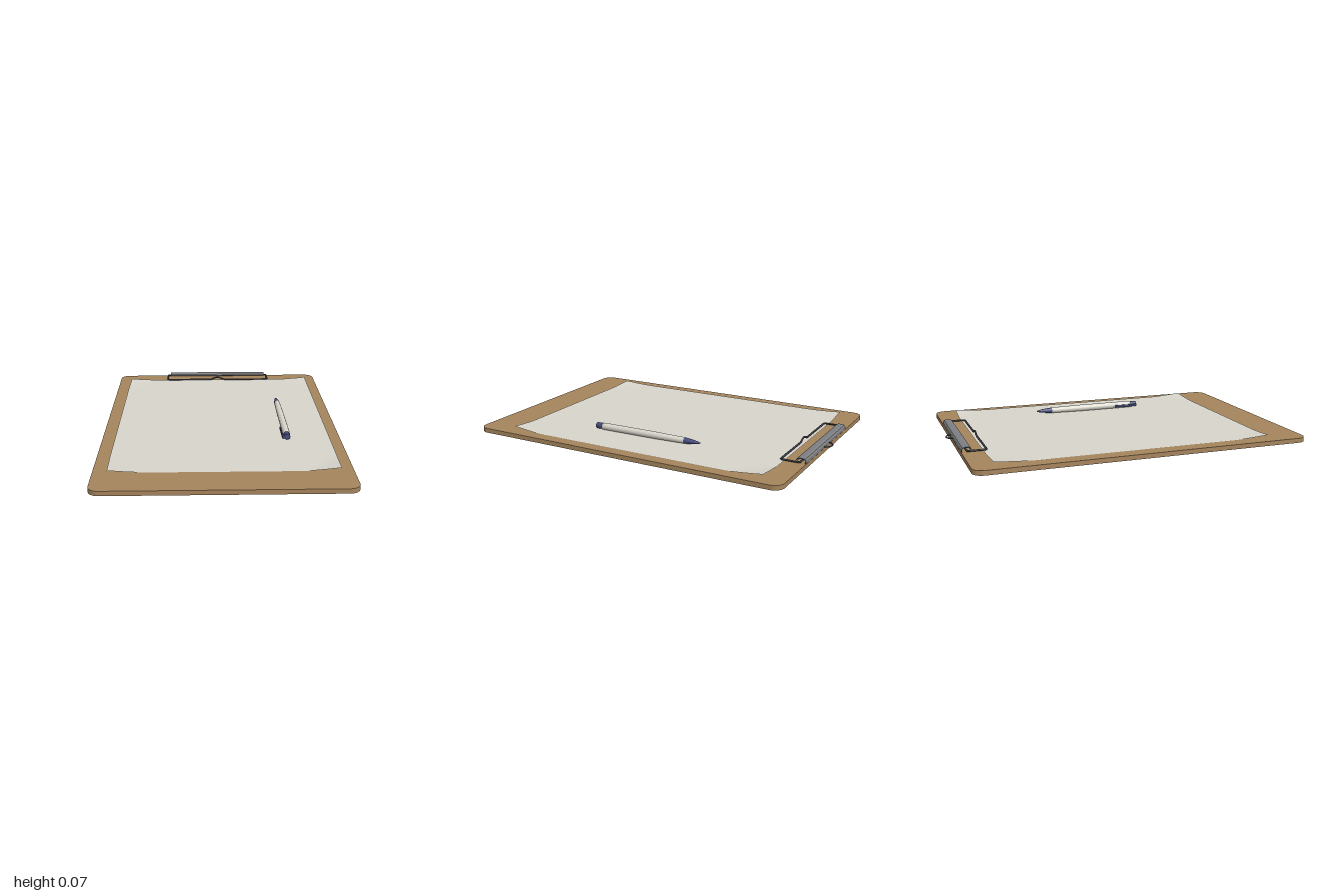
import * as THREE from 'three';

const mat = (name, color, side = THREE.FrontSide) => {
  const m = new THREE.MeshStandardMaterial({ color, side });
  m.name = name;
  return m;
};

export function createModel() {
  const model = new THREE.Group();
  model.name = 'clipboard';
  const wood = mat('brown hardboard', 0xa5845c);
  const paperMat = mat('off-white paper', 0xd7d5cb, THREE.DoubleSide);
  const steel = mat('grey steel', 0x7d7f82);
  const wireMat = mat('dark wire', 0x3b3e46);
  const white = mat('pen white', 0xd9d7cc);
  const navy = mat('pen navy', 0x444a7c);

  const add = (name, geo, material, parent = model) => {
    const mesh = new THREE.Mesh(geo, material);
    mesh.name = name;
    parent.add(mesh);
    return mesh;
  };

  // Board: rounded rectangle, x -0.7..0.7, z -0.965..1
  const w = 0.7, z0 = -0.965, z1 = 1, r = 0.06;
  const s = new THREE.Shape();
  s.absarc(w - r, -z0 - r, r, 0, Math.PI / 2);
  s.absarc(-w + r, -z0 - r, r, Math.PI / 2, Math.PI);
  s.absarc(-w + r, -z1 + r, r, Math.PI, Math.PI * 1.5);
  s.absarc(w - r, -z1 + r, r, Math.PI * 1.5, Math.PI * 2);
  const board = new THREE.ExtrudeGeometry(s, { depth: 0.027, bevelEnabled: false, curveSegments: 8 });
  board.rotateX(-Math.PI / 2);
  add('board', board, wood);

  // Paper: thin sheet whose corners curl upward and pull in slightly
  const hx = 0.632, hz = 0.815;
  const paper = new THREE.PlaneGeometry(hx * 2, hz * 2, 48, 60);
  paper.rotateX(-Math.PI / 2);
  const p = paper.attributes.position;
  for (let i = 0; i < p.count; i++) {
    const x = p.getX(i), z = p.getZ(i);
    const t = Math.max(0, 1 - (hx - Math.abs(x) + hz - Math.abs(z)) / 0.21);
    const lift = (x > 0 ? 0.016 : 0.011) * Math.pow(t, 1.4);
    p.setXYZ(i, x - Math.sign(x) * 0.006 * t, lift, z - Math.sign(z) * 0.004 * t);
  }
  paper.computeVertexNormals();
  paper.translate(0.006, 0.031, -0.03);
  add('paper', paper, paperMat);

  // Clip: bent steel strip across the back edge, profile in (-z, y)
  const clip = new THREE.Group();
  clip.name = 'clip';
  model.add(clip);
  const profile = [
    [0.964, 0.027], [0.964, 0.044], [0.958, 0.053], [0.945, 0.057], [0.922, 0.056], [0.911, 0.051],
    [0.908, 0.044], [0.913, 0.038], [0.917, 0.041], [0.913, 0.045], [0.915, 0.049], [0.924, 0.052],
    [0.944, 0.053], [0.955, 0.05], [0.96, 0.043], [0.96, 0.027],
  ].map(([a, b]) => new THREE.Vector2(a, b));
  const plate = new THREE.ExtrudeGeometry(new THREE.Shape(profile), { depth: 0.68, bevelEnabled: false });
  plate.rotateY(Math.PI / 2);
  plate.translate(-0.34, 0, 0);
  add('clipPlate', plate, steel, clip);

  // Wire bail: closed loop with a raised hump in the middle of its front run
  const v = (x, y, z) => new THREE.Vector3(x, y, z);
  const path = new THREE.CurvePath();
  const hump = [];
  for (let i = 0; i <= 10; i++) {
    const u = i / 5 - 1;
    hump.push(v(0.06 * u, 0.039 + 0.016 * (0.5 + 0.5 * Math.cos(Math.PI * u)), -0.826));
  }
  const y = 0.039, c = 0.012, X = 0.358, zb = -0.936, zf = -0.826;
  const line = (a, b) => path.add(new THREE.LineCurve3(a, b));
  const bend = (a, b, d) => path.add(new THREE.QuadraticBezierCurve3(a, b, d));
  line(v(0, y, zb), v(-X + c, y, zb));
  bend(v(-X + c, y, zb), v(-X, y, zb), v(-X, y, zb + c));
  line(v(-X, y, zb + c), v(-X, y, zf - c));
  bend(v(-X, y, zf - c), v(-X, y, zf), v(-X + c, y, zf));
  line(v(-X + c, y, zf), hump[0]);
  path.add(new THREE.CatmullRomCurve3(hump));
  line(hump[10], v(X - c, y, zf));
  bend(v(X - c, y, zf), v(X, y, zf), v(X, y, zf - c));
  line(v(X, y, zf - c), v(X, y, zb + c));
  bend(v(X, y, zb + c), v(X, y, zb), v(X - c, y, zb));
  line(v(X - c, y, zb), v(0, y, zb));
  add('wireBail', new THREE.TubeGeometry(path, 260, 0.0055, 8, false), wireMat, clip);

  // Hanging loop behind the board
  const loop = new THREE.CatmullRomCurve3([
    v(-0.043, 0.033, -0.95), v(-0.041, 0.033, -0.97), v(-0.026, 0.033, -0.989), v(0, 0.033, -0.996),
    v(0.026, 0.033, -0.989), v(0.041, 0.033, -0.97), v(0.043, 0.033, -0.95),
  ]);
  add('hangingLoop', new THREE.TubeGeometry(loop, 32, 0.004, 8, false), wireMat, clip);

  // Pen: lathed sections along its axis, tip toward -z
  const pen = new THREE.Group();
  pen.name = 'pen';
  pen.position.set(0.381, 0.053, 0);
  pen.rotation.y = 0.01;
  model.add(pen);
  const lathe = (name, pts, material) => {
    const g = new THREE.LatheGeometry(pts.map(([a, b]) => new THREE.Vector2(a, b)), 16);
    g.rotateX(-Math.PI / 2);
    add(name, g, material, pen);
  };
  lathe('penBarrel', [[0, -0.305], [0.02, -0.305], [0.021, -0.29], [0.021, 0.05], [0.018, 0.25], [0, 0.25]], white);
  lathe('penTip', [[0.018, 0.25], [0.016, 0.275], [0.011, 0.315], [0.006, 0.34], [0.003, 0.349], [0, 0.349]], navy);
  lathe('penCap', [[0, -0.345], [0.018, -0.345], [0.018, -0.345], [0.018, -0.304]], navy);

  // Pocket clip on the side of the pen
  const pocket = new THREE.BoxGeometry(0.006, 0.013, 0.155);
  pocket.translate(-0.026, -0.003, 0.267);
  add('pocketClip', pocket, navy, pen);
  const bridge = new THREE.BoxGeometry(0.018, 0.013, 0.028);
  bridge.translate(-0.019, -0.003, 0.331);
  add('pocketClipBridge', bridge, navy, pen);

  return model;
}
